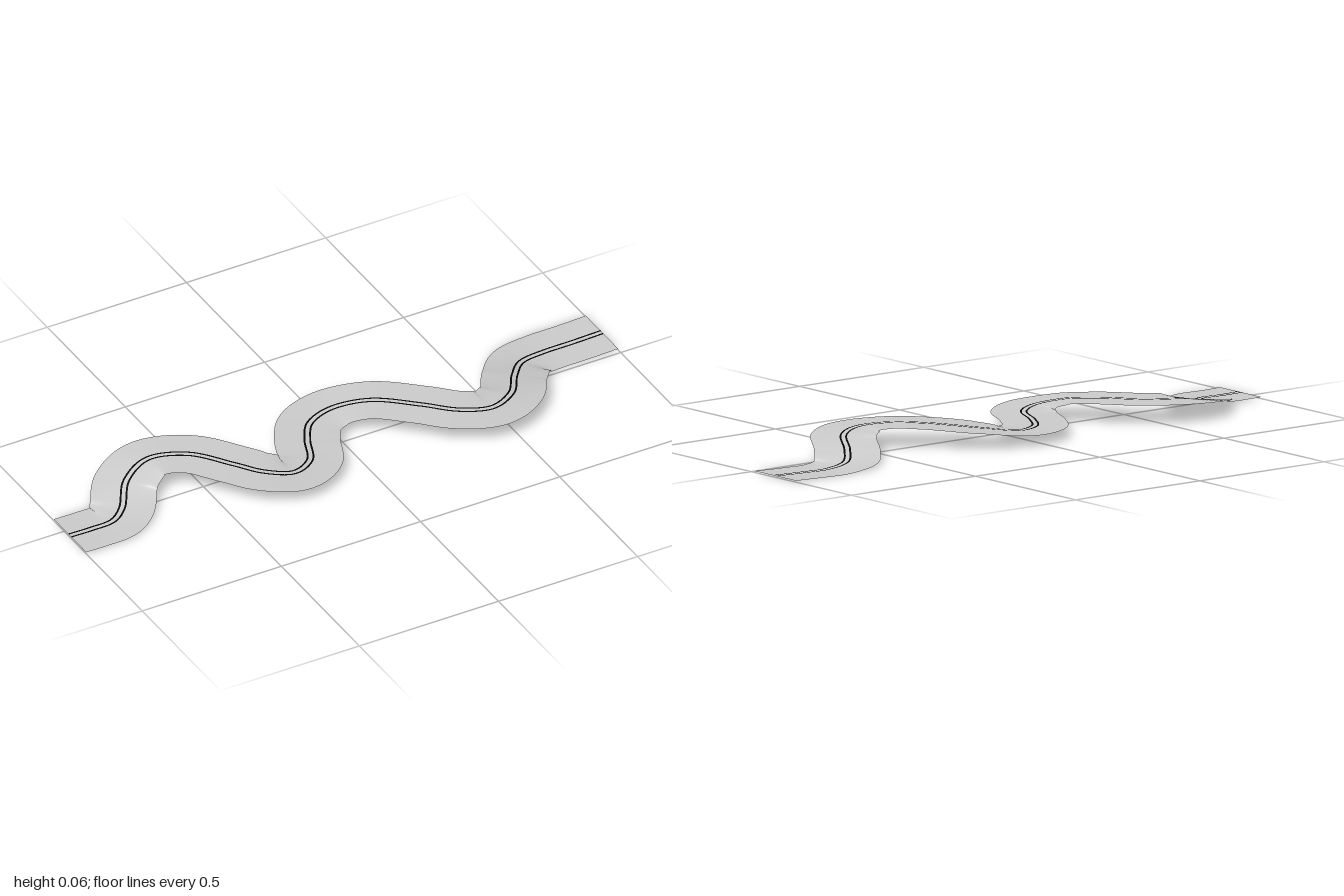
import * as THREE from 'three';

// Road centreline: x, height, z
const PATH = [
  [-1, 0.009, 0.037], [-0.92, 0.008, 0.037], [-0.845, 0.01, 0.034], [-0.79, 0.016, -0.005],
  [-0.72, 0.042, -0.1], [-0.62, 0.062, -0.145], [-0.5, 0.067, -0.1], [-0.4, 0.066, 0.02],
  [-0.335, 0.06, 0.092], [-0.245, 0.048, 0.127], [-0.165, 0.042, 0.085], [-0.115, 0.038, -0.02],
  [-0.06, 0.036, -0.1], [0.035, 0.038, -0.135], [0.15, 0.054, -0.095], [0.27, 0.066, 0.02],
  [0.36, 0.067, 0.105], [0.46, 0.062, 0.138], [0.555, 0.054, 0.09], [0.63, 0.032, -0.02],
  [0.7, 0.012, -0.098], [0.79, 0.004, -0.12], [0.89, 0.005, -0.12], [1, 0.008, -0.12],
];
const STEPS = 220;
const HALF_WIDTH = 0.104;

// Sheet following the path between two sideways offsets
function ribbon(curve, from, to, columns, lift) {
  const positions = [], indices = [];
  const last = [];
  for (let i = 0; i <= STEPS; i++) {
    const p = curve.getPointAt(i / STEPS);
    const t = curve.getTangentAt(i / STEPS).setY(0).normalize();
    if (i === 0 || i === STEPS) t.set(1, 0, 0);
    for (let j = 0; j <= columns; j++) {
      const d = from + (to - from) * j / columns;
      const q = new THREE.Vector3(p.x - t.z * d, p.y + lift, p.z + t.x * d);
      // Hold the inner edge still where a tight bend would fold it back
      if (last[j]) {
        const step = (q.x - last[j].x) * t.x + (q.z - last[j].z) * t.z;
        if (step < 0) q.set(last[j].x, q.y, last[j].z);
      }
      last[j] = q;
      positions.push(q.x, q.y, q.z);
    }
  }
  const row = columns + 1;
  for (let i = 0; i < STEPS; i++) {
    for (let j = 0; j < columns; j++) {
      const a = i * row + j, b = a + 1, c = a + row, d = c + 1;
      indices.push(a, b, c, b, d, c);
    }
  }
  const geometry = new THREE.BufferGeometry();
  geometry.setAttribute('position', new THREE.Float32BufferAttribute(positions, 3));
  geometry.setIndex(indices);
  geometry.computeVertexNormals();
  return geometry;
}

export function createModel() {
  const group = new THREE.Group();
  group.name = 'windingRoad';
  const curve = new THREE.CatmullRomCurve3(PATH.map((p) => new THREE.Vector3(...p)));
  curve.arcLengthDivisions = 1000;

  const asphalt = new THREE.MeshStandardMaterial({ color: 0xcccccc, side: THREE.DoubleSide });
  asphalt.name = 'lightGreyRoad';
  const paint = new THREE.MeshStandardMaterial({ color: 0x050505, side: THREE.DoubleSide });
  paint.name = 'blackLine';

  // Road surface
  const road = new THREE.Mesh(ribbon(curve, -HALF_WIDTH, HALF_WIDTH, 10, 0), asphalt);
  road.name = 'roadSurface';
  group.add(road);

  // Double line along the middle
  for (const side of [-1, 1]) {
    const middle = side * 0.009;
    const line = new THREE.Mesh(ribbon(curve, middle - 0.003, middle + 0.003, 1, 0.001), paint);
    line.name = side < 0 ? 'centreLineBack' : 'centreLineFront';
    group.add(line);
  }
  return group;
}
